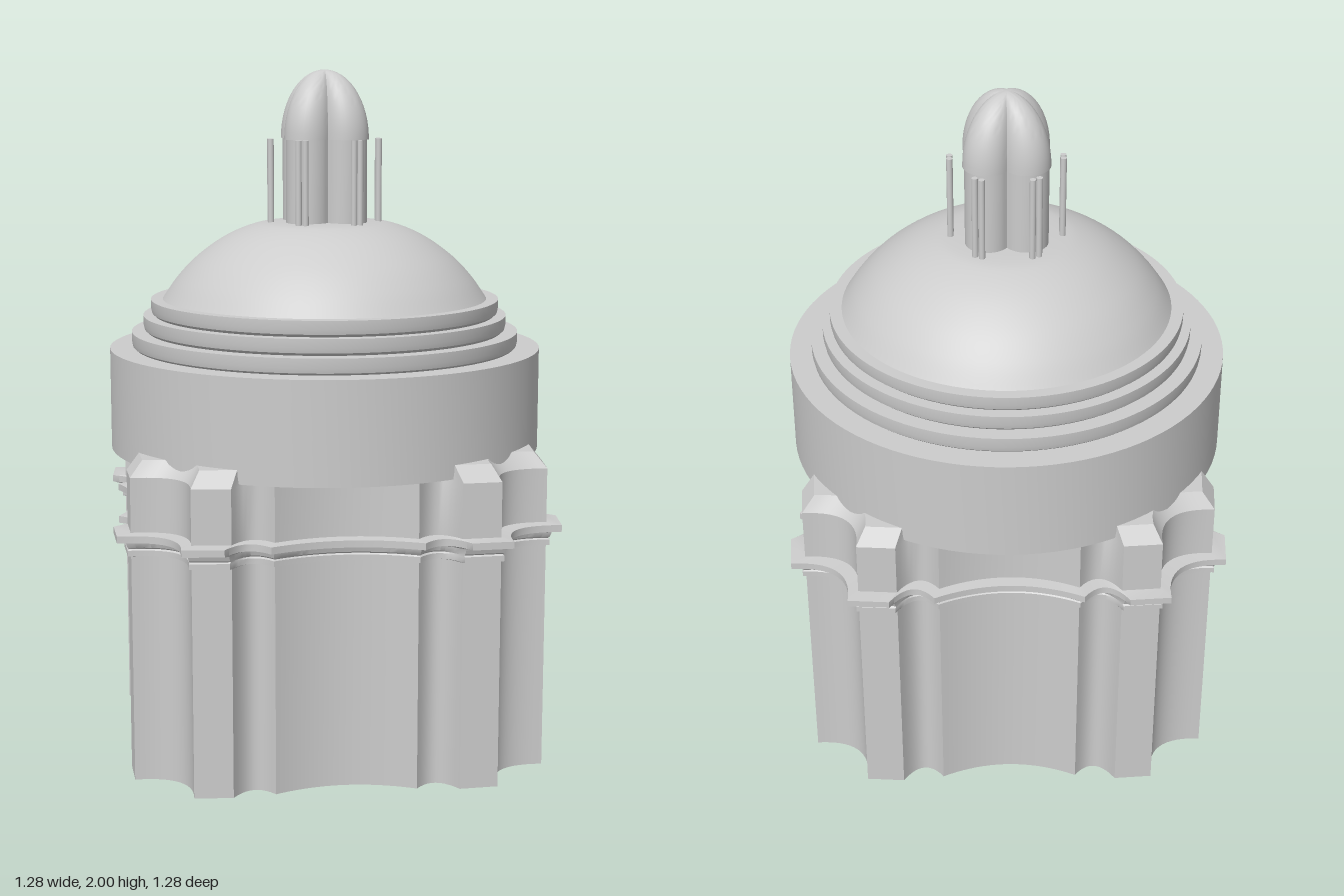
import * as THREE from 'three';
import { toCreasedNormals } from 'three/addons/utils/BufferGeometryUtils.js';

const stone = new THREE.MeshStandardMaterial({ color: 0xcccccc, side: THREE.DoubleSide });
stone.name = 'stone';

const CREASE = 0.5;

function addMesh(parent, name, geometry) {
  const mesh = new THREE.Mesh(geometry, stone);
  mesh.name = name;
  parent.add(mesh);
  return mesh;
}

// Repeats a quarter of a plan four times around the y axis
function fullPlan(quarter) {
  const plan = [];
  let side = quarter;
  for (let k = 0; k < 4; k++) {
    plan.push(...side);
    side = side.map(([x, z]) => [z, -x]);
  }
  return plan;
}

// Skins a closed plan through levels given as [scale, height]
function loft(plan, levels) {
  const n = plan.length;
  const positions = [];
  const index = [];
  for (const [s, y] of levels) for (const [x, z] of plan) positions.push(x * s, y, z * s);
  for (let j = 0; j < levels.length - 1; j++) {
    for (let i = 0; i < n; i++) {
      const a = j * n + i, b = j * n + (i + 1) % n;
      index.push(a, b, b + n, a, b + n, a + n);
    }
  }
  const g = new THREE.BufferGeometry();
  g.setAttribute('position', new THREE.Float32BufferAttribute(positions, 3));
  g.setIndex(index);
  return toCreasedNormals(g, CREASE);
}

function lathe(profile) {
  const points = profile.map(([r, y]) => new THREE.Vector2(r, y));
  return toCreasedNormals(new THREE.LatheGeometry(points, 96), CREASE);
}

// Points on a quadratic curve, without the last one
function bend(a, control, b, steps) {
  const v = p => new THREE.Vector2(p[0], p[1]);
  return new THREE.QuadraticBezierCurve(v(a), v(control), v(b))
    .getPoints(steps).slice(0, -1).map(p => [p.x, p.y]);
}

// One side of the building: pier face, notch, hollow wall, notch, pier face, hollow corner
function wallPlan() {
  return fullPlan([
    [-0.43, 0.592],
    ...bend([-0.32, 0.6], [-0.26, 0.5], [-0.2, 0.585], 10),
    ...bend([-0.2, 0.585], [0, 0.485], [0.2, 0.585], 20),
    ...bend([0.2, 0.585], [0.26, 0.5], [0.32, 0.6], 10),
    [0.32, 0.6],
    ...bend([0.43, 0.592], [0.42, 0.42], [0.592, 0.43], 14),
  ]);
}

// Four round lobes
function lobedPlan() {
  const c = 0.056, r = 0.068, steps = 20;
  const end = Math.asin(c / r);
  const quarter = [];
  for (let i = 0; i < steps; i++) {
    const a = THREE.MathUtils.lerp(Math.PI / 2 + end, -end, i / steps);
    quarter.push([c + r * Math.cos(a), c + r * Math.sin(a)]);
  }
  return fullPlan(quarter);
}

export function createModel() {
  const model = new THREE.Group();
  model.name = 'domedBuilding';
  const plan = wallPlan();

  // Hollow lower storey
  addMesh(model, 'walls', loft(plan, [[1, 0], [1, 0.665]]));

  // Stepped cornice following the walls
  addMesh(model, 'cornice', loft(plan, [
    [1, 0.66], [1.016, 0.662], [1.016, 0.678], [1.008, 0.682], [1.016, 0.686],
    [1.024, 0.7], [1.066, 0.705], [1.066, 0.725], [1, 0.728],
  ]));

  // Upper band with sloping pier tops
  addMesh(model, 'attic', loft(plan, [[1, 0.725], [1, 0.885], [0.94, 0.93], [0.8, 0.93]]));

  // Broad drum and the three steps above it
  addMesh(model, 'drum', lathe([[0.48, 0.89], [0.64, 0.89], [0.64, 1.187], [0.56, 1.187]]));
  const steps = new THREE.Group();
  steps.name = 'domeSteps';
  model.add(steps);
  [[0.575, 1.185, 1.235], [0.54, 1.235, 1.283], [0.517, 1.283, 1.33]].forEach(([r, y0, y1]) => {
    addMesh(steps, 'domeStep', lathe([[r - 0.012, y0], [r - 0.003, y0 + 0.008], [r, y0 + 0.022], [r, y1], [r - 0.06, y1]]));
  });

  // Dome with a flattened crown
  const curve = new THREE.SplineCurve([
    [0.485, 1.325], [0.44, 1.39], [0.38, 1.453], [0.3, 1.51], [0.22, 1.545], [0.15, 1.557], [0.0001, 1.56],
  ].map(([r, y]) => new THREE.Vector2(r, y)));
  addMesh(model, 'dome', lathe(curve.getPoints(36).map(p => [Math.max(p.x, 0), p.y])));

  // Lobed lantern and its pointed cap
  const lantern = new THREE.Group();
  lantern.name = 'lantern';
  model.add(lantern);
  const lobes = lobedPlan();
  addMesh(lantern, 'lanternBody', loft(lobes, [[0.96, 1.55], [0.96, 1.8]]));
  const capLevels = [[0.9, 1.8]];
  for (let i = 0; i <= 16; i++) {
    const a = (i / 16) * Math.PI / 2;
    capLevels.push([Math.max(Math.cos(a), 0.001), 1.8 + 0.2 * Math.sin(a)]);
  }
  addMesh(lantern, 'lanternCap', loft(lobes, capLevels));

  // Six pairs of slender columns
  const column = new THREE.CylinderGeometry(0.009, 0.009, 0.25, 16);
  for (let k = 0; k < 6; k++) {
    const pair = new THREE.Group();
    pair.name = 'columnPair';
    pair.rotation.y = k * Math.PI / 3;
    for (const side of [-1, 1]) addMesh(pair, 'column', column).position.set(0.16, 1.675, side * 0.011);
    lantern.add(pair);
  }

  return model;
}
